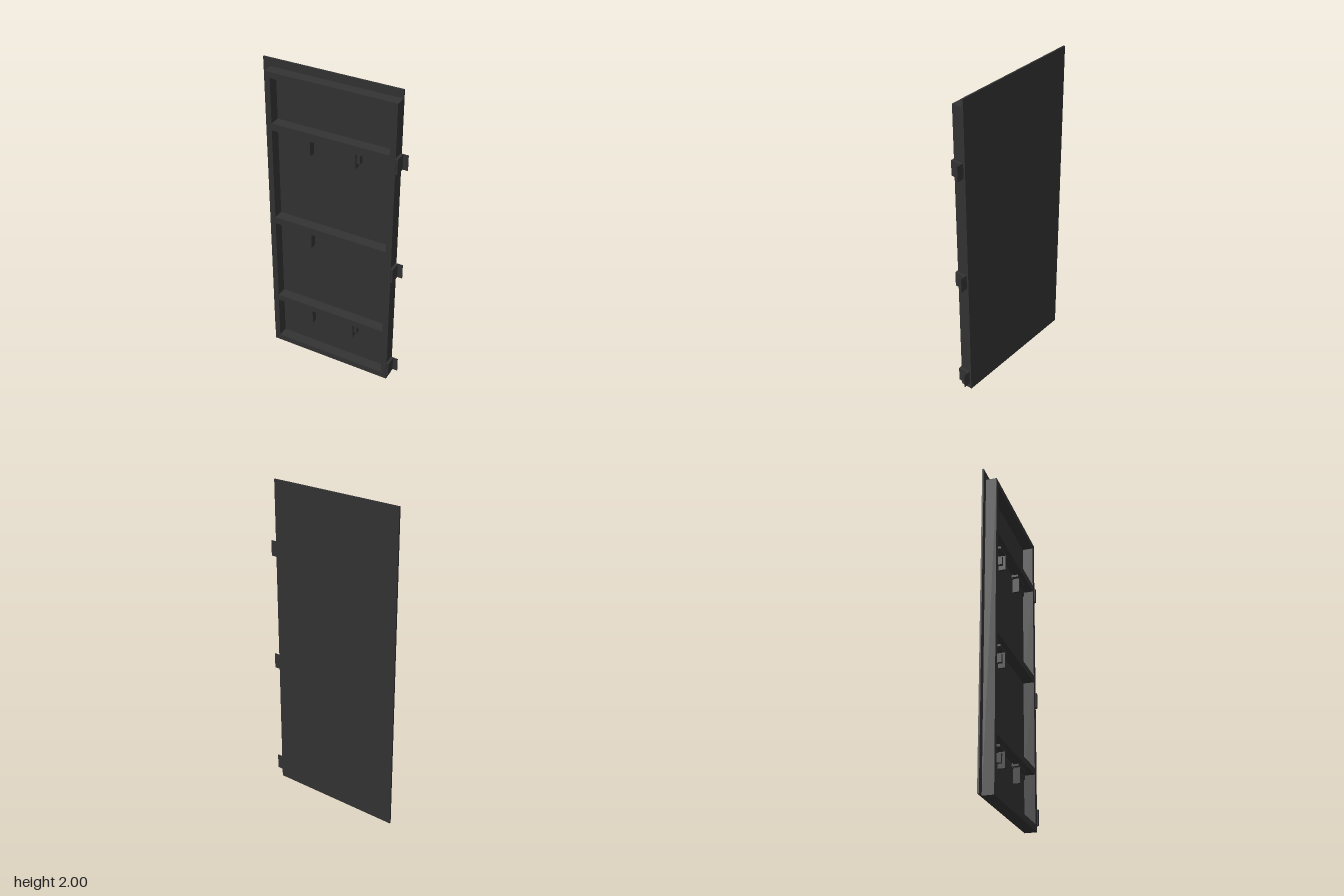
import * as THREE from 'three';

export function createModel() {
  const group = new THREE.Group();
  const darkMetal = new THREE.MeshStandardMaterial({ color: 0x333333 });

  // Box given by its lower and upper corners
  const box = (parent, name, [x0, y0, z0], [x1, y1, z1]) => {
    const mesh = new THREE.Mesh(new THREE.BoxGeometry(x1 - x0, y1 - y0, z1 - z0), darkMetal);
    mesh.position.set((x0 + x1) / 2, (y0 + y1) / 2, (z0 + z1) / 2);
    mesh.name = name;
    parent.add(mesh);
  };

  // Outer skin of the door
  const skin = -0.033, front = 0.034;
  box(group, 'backPanel', [-0.455, 0, -0.043], [0.408, 2, skin]);

  // Tubular frame with four openings
  const rect = (T, x0, y0, x1, y1) => {
    const s = new T();
    s.moveTo(x0, y0);
    s.lineTo(x1, y0);
    s.lineTo(x1, y1);
    s.lineTo(x0, y1);
    s.closePath();
    return s;
  };
  const outline = rect(THREE.Shape, -0.41, 0, 0.408, 1.95);
  const openings = [[0.04, 0.34], [0.38, 0.94], [0.985, 1.585], [1.63, 1.912]];
  for (const [y0, y1] of openings) outline.holes.push(rect(THREE.Path, -0.375, y0, 0.371, y1));
  const frame = new THREE.Mesh(
    new THREE.ExtrudeGeometry(outline, { depth: front - skin, bevelEnabled: false }), darkMetal);
  frame.position.z = skin;
  frame.name = 'frame';
  group.add(frame);

  // Hanging brackets below the rails; side is -1 or 1
  const addBracket = (top, side) => {
    const bracket = new THREE.Group();
    bracket.name = 'bracket';
    const part = (name, a, b, y0, y1, z1) => {
      const xs = [a * side, b * side].sort((p, q) => p - q);
      box(bracket, name, [xs[0], top + y0, skin], [xs[1], top + y1, z1]);
    };
    part('ledgeStrip', 0.12, 0.372, -0.028, 0, skin + 0.006);
    part('topPlate', 0.113, 0.243, -0.023, -0.009, 0.01);
    part('hookFin', 0.137, 0.153, -0.118, -0.02, 0.01);
    part('sideWeb', 0.153, 0.174, -0.09, -0.035, -0.005);
    group.add(bracket);
  };
  addBracket(1.585, -1);
  addBracket(1.585, 1);
  addBracket(0.94, -1);
  addBracket(0.34, -1);
  addBracket(0.34, 1);

  // Hinges on the left edge
  for (const y of [0.088, 0.83, 1.573]) {
    const hinge = new THREE.Group();
    hinge.name = 'hinge';
    const h = 0.048;
    box(hinge, 'hingePlate', [0.408, y - h, -0.03], [0.424, y + h, 0.041]);
    box(hinge, 'hingeLeaf', [0.408, y - h, -0.031], [0.455, y + h, -0.027]);
    const pin = new THREE.Mesh(new THREE.CylinderGeometry(0.005, 0.005, 2 * h, 12), darkMetal);
    pin.position.set(0.407, y, 0.038);
    pin.name = 'hingePin';
    hinge.add(pin);
    group.add(hinge);
  }
  return group;
}
